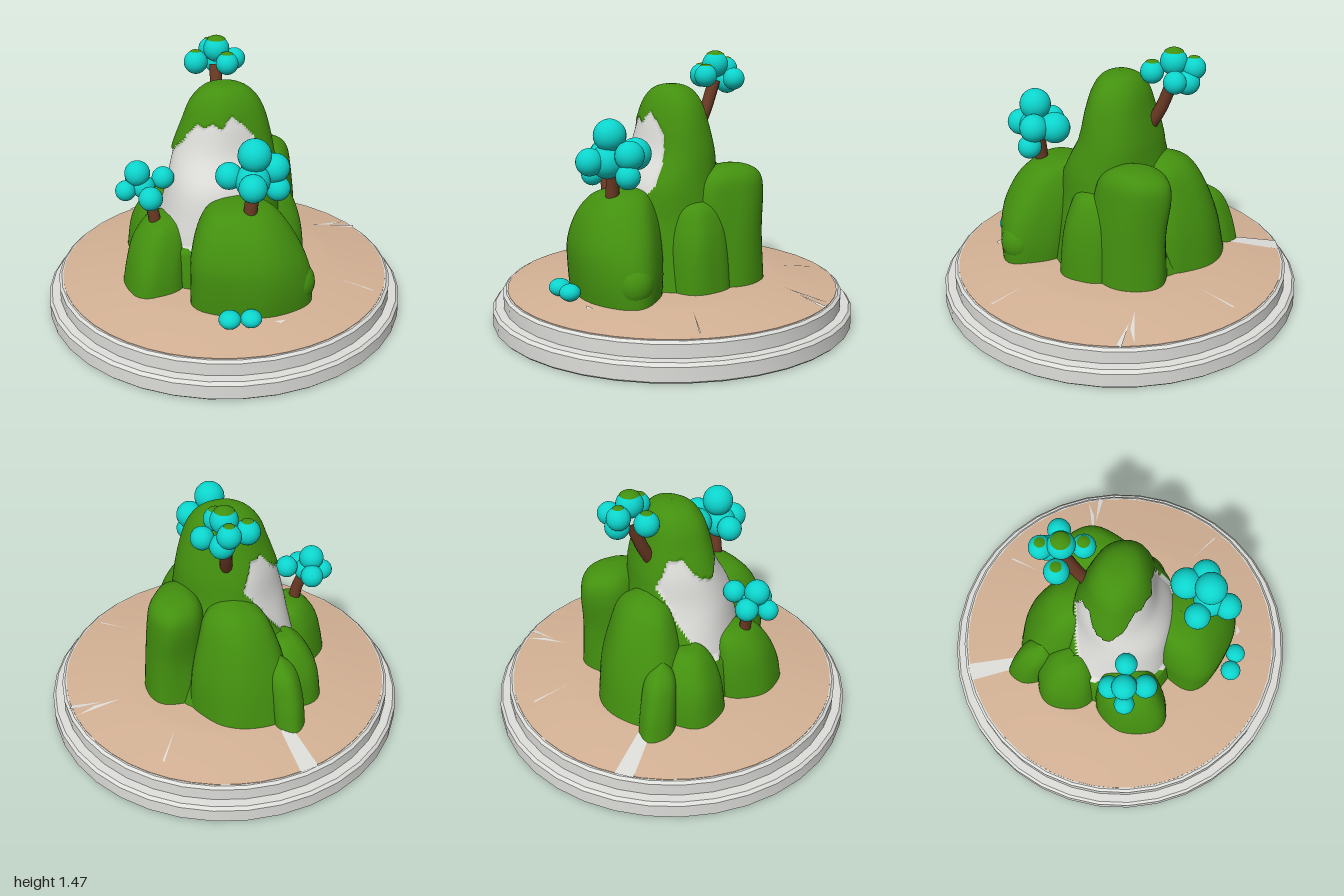
import * as THREE from 'three';
import { toCreasedNormals } from 'three/addons/utils/BufferGeometryUtils.js';

const paint = (name, color) => {
  const m = new THREE.MeshStandardMaterial({ color });
  m.name = name;
  return m;
};

// Piecewise linear lookup in a list of [key, value] pairs
function lookup(table, k) {
  if (k <= table[0][0]) return table[0][1];
  for (let i = 1; i < table.length; i++) {
    const [k0, v0] = table[i - 1], [k1, v1] = table[i];
    if (k <= k1) return v0 + (v1 - v0) * (k - k0) / (k1 - k0);
  }
  return table[table.length - 1][1];
}

// Closed lumpy hill through rings of [y, cx, cz, rx, rz]; isBare picks the second material
function hillGeometry(rings, { rows = 24, cols = 48, lump = 0.03, seed = 0, isBare = () => false } = {}) {
  const centre = new THREE.CatmullRomCurve3(rings.map(r => new THREE.Vector3(r[1], r[0], r[2])), false, 'catmullrom');
  const radius = new THREE.CatmullRomCurve3(rings.map(r => new THREE.Vector3(r[3], 0, r[4])), false, 'catmullrom');
  const pos = [], green = [], bare = [];
  for (let i = 0; i <= rows; i++) {
    const c = centre.getPoint(i / rows), r = radius.getPoint(i / rows);
    for (let j = 0; j < cols; j++) {
      const a = j / cols * Math.PI * 2;
      let k = 1 + lump * (Math.sin(3 * a + seed) + 0.7 * Math.sin(5 * a + 2 * seed + c.y * 3));
      if (isBare(a, c.y)) k *= 0.95;
      pos.push(c.x + Math.cos(a) * r.x * k, c.y, c.z + Math.sin(a) * r.z * k);
    }
  }
  for (let i = 0; i < rows; i++) for (let j = 0; j < cols; j++) {
    const a = i * cols + j, b = i * cols + (j + 1) % cols, c = a + cols, d = b + cols;
    const y = (pos[a * 3 + 1] + pos[c * 3 + 1]) / 2;
    (isBare((j + 0.5) / cols * Math.PI * 2, y) ? bare : green).push(a, c, b, b, c, d);
  }
  const g = new THREE.BufferGeometry();
  g.setAttribute('position', new THREE.Float32BufferAttribute(pos, 3));
  g.setIndex([...green, ...bare]);
  g.addGroup(0, green.length, 0);
  g.addGroup(green.length, bare.length, 1);
  g.computeVertexNormals();
  return g;
}

export function createModel() {
  const stone = paint('pale stone', 0xdddeda);
  const sand = paint('sand', 0xd4b295);
  const grass = paint('grass green', 0x43900f);
  const leaf = paint('turquoise leaf', 0x0cd4cc);
  const bark = paint('brown bark', 0x6b3a24);

  const model = new THREE.Group();
  const add = (name, geometry, material, parent = model) => {
    const m = new THREE.Mesh(geometry, material);
    m.name = name;
    parent.add(m);
    return m;
  };
  const lathe = (points, n) =>
    toCreasedNormals(new THREE.LatheGeometry(points.map(p => new THREE.Vector2(...p)), n), 0.6);

  // Stepped round plinth
  add('plinth', lathe([[0, 0], [0.99, 0], [1, 0.01], [1, 0.085], [0.985, 0.102], [0.94, 0.105],
    [0.94, 0.175], [0.925, 0.188], [0, 0.188]], 36), stone);

  // Gently domed sand
  const sandProfile = [[0, 0.248], [0.56, 0.245], [0.62, 0.238], [0.8, 0.21], [0.915, 0.191]];
  add('sandTop', lathe([[0.915, 0.185], ...sandProfile.slice().reverse()], 48), sand);

  // Thin stone cracks lying on the sand
  const cracks = [
    [[-0.53, -0.76], [-0.44, -0.81], [-0.33, -0.55], [-0.4, -0.54]],
    [[0.56, -0.35], [0.78, -0.45], [0.7, -0.39]],
    [[0.66, -0.365], [0.84, -0.405], [0.83, -0.375]],
    [[0.235, -0.59], [0.27, -0.79], [0.28, -0.78]],
    [[0.6, 0.28], [0.79, 0.38], [0.78, 0.365]],
    [[0.2, 0.665], [0.26, 0.655], [0.23, 0.68]],
  ];
  const cracksGroup = new THREE.Group();
  cracksGroup.name = 'sandCracks';
  model.add(cracksGroup);
  const crackStone = stone.clone();
  crackStone.name = 'crack stone';
  crackStone.side = THREE.DoubleSide;
  for (const c of cracks) {
    const g = new THREE.ShapeGeometry(new THREE.Shape(c.map(p => new THREE.Vector2(p[0], -p[1]))));
    g.rotateX(-Math.PI / 2);
    const p = g.attributes.position;
    for (let i = 0; i < p.count; i++) p.setY(i, lookup(sandProfile, Math.hypot(p.getX(i), p.getZ(i))) + 0.004);
    g.computeVertexNormals();
    add('crack', g, crackStone, cracksGroup);
  }

  // Main peak with a bare rock face on its front and left, edged by [degrees, y]
  const capEdge = [[48, 0.9], [54, 1.06], [68, 1.12], [83, 1.17], [98, 1.1], [110, 1.13], [122, 1.1],
    [134, 1.12], [155, 1.0], [175, 0.93], [195, 0.96], [215, 1.06], [235, 1.05], [250, 0.9]];
  const mossEdge = [[48, 0.8], [60, 0.72], [75, 0.5], [150, 0.45], [190, 0.5], [205, 0.58], [225, 0.7], [250, 0.9]];
  const isBare = (a, y) => {
    const d = THREE.MathUtils.radToDeg(a);
    return d > 48 && d < 250 && y < lookup(capEdge, d) && y > lookup(mossEdge, d);
  };
  add('mainPeak', hillGeometry([
    [0.2, -0.02, -0.04, 0.44, 0.42], [0.4, -0.03, -0.02, 0.4, 0.38], [0.6, -0.03, 0.01, 0.345, 0.33],
    [0.78, -0.02, 0.03, 0.31, 0.28], [0.95, -0.01, 0, 0.275, 0.22], [1.1, 0, 0, 0.23, 0.18],
    [1.2, 0, 0, 0.19, 0.15], [1.265, 0, 0, 0.135, 0.11], [1.295, 0, 0, 0.07, 0.06], [1.302, 0, 0, 0.001, 0.001],
  ], { rows: 100, cols: 144, lump: 0.018, seed: 1, isBare }), [grass, stone]);

  // Grassy foothills around the peak
  const hills = {
    frontHill: [[0.2, 0.1, 0.43, 0.32, 0.205], [0.35, 0.1, 0.43, 0.32, 0.22], [0.5, 0.08, 0.42, 0.3, 0.225],
      [0.64, 0.06, 0.39, 0.245, 0.2], [0.73, 0.05, 0.36, 0.18, 0.15], [0.765, 0.05, 0.34, 0.1, 0.09], [0.775, 0.05, 0.33, 0.001, 0.001]],
    leftHill: [[0.2, -0.4, 0.2, 0.18, 0.21], [0.35, -0.39, 0.19, 0.165, 0.2], [0.48, -0.37, 0.17, 0.15, 0.17],
      [0.57, -0.35, 0.15, 0.11, 0.13], [0.605, -0.34, 0.14, 0.06, 0.07], [0.612, -0.34, 0.14, 0.001, 0.001]],
    rightBackHill: [[0.2, 0.26, -0.18, 0.18, 0.22], [0.5, 0.26, -0.18, 0.16, 0.21], [0.72, 0.25, -0.2, 0.15, 0.21],
      [0.82, 0.25, -0.21, 0.13, 0.18], [0.87, 0.25, -0.21, 0.08, 0.1], [0.885, 0.25, -0.2, 0.001, 0.001]],
    rightHill: [[0.2, 0.28, 0.03, 0.18, 0.18], [0.45, 0.27, 0.03, 0.165, 0.165], [0.6, 0.25, 0.02, 0.145, 0.145],
      [0.69, 0.24, 0.02, 0.1, 0.1], [0.72, 0.23, 0.02, 0.001, 0.001]],
    backHill: [[0.2, -0.13, -0.36, 0.29, 0.2], [0.45, -0.11, -0.34, 0.26, 0.18], [0.65, -0.09, -0.3, 0.21, 0.16],
      [0.78, -0.07, -0.27, 0.16, 0.12], [0.84, -0.06, -0.24, 0.08, 0.07], [0.86, -0.06, -0.23, 0.001, 0.001]],
    backSpur: [[0.2, -0.38, -0.46, 0.085, 0.11], [0.38, -0.36, -0.43, 0.085, 0.1],
      [0.52, -0.33, -0.39, 0.07, 0.08], [0.6, -0.3, -0.35, 0.001, 0.001]],
    leftBackHill: [[0.2, -0.39, -0.2, 0.16, 0.19], [0.4, -0.38, -0.2, 0.14, 0.17], [0.53, -0.35, -0.19, 0.11, 0.13],
      [0.6, -0.33, -0.18, 0.06, 0.07], [0.61, -0.32, -0.17, 0.001, 0.001]],
  };
  Object.entries(hills).forEach(([name, rings], i) =>
    add(name, hillGeometry(rings, { lump: 0.03, seed: i * 1.7 }), [grass, stone]));
  const bump = add('frontHillBump', new THREE.SphereGeometry(0.1, 24, 16), grass);
  bump.position.set(0.34, 0.34, 0.46);
  bump.scale.set(1, 1.15, 1);

  // Trees: curved trunk and round leaf clumps [x, y, z, radius, moss cap angle]
  function clump(parent, [x, y, z, r, moss], squash = 1) {
    const ball = add('leafClump', new THREE.SphereGeometry(r, 24, 16), leaf, parent);
    ball.position.set(x, y, z);
    ball.scale.y = squash;
    if (moss) add('mossCap', new THREE.SphereGeometry(r + 0.003, 20, 6, 0, Math.PI * 2, 0, moss), grass, ball);
  }
  function tree(name, path, radius, clumps) {
    const g = new THREE.Group();
    g.name = name;
    model.add(g);
    const curve = new THREE.CatmullRomCurve3(path.map(p => new THREE.Vector3(...p)));
    add('trunk', new THREE.TubeGeometry(curve, 10, radius, 12), bark, g);
    clumps.forEach(c => clump(g, c));
  }
  tree('frontTree', [[0.09, 0.68, 0.44], [0.1, 0.8, 0.44], [0.13, 0.93, 0.44]], 0.036, [
    [0.11, 1.075, 0.46, 0.086], [-0.015, 0.955, 0.43, 0.07], [0.14, 0.97, 0.325, 0.085], [0.22, 0.98, 0.41, 0.077],
    [0.09, 0.945, 0.57, 0.072], [0.235, 0.875, 0.43, 0.065], [0.1, 0.94, 0.47, 0.09]]);
  tree('leftTree', [[-0.385, 0.54, 0.18], [-0.4, 0.65, 0.18], [-0.44, 0.78, 0.17]], 0.032, [
    [-0.475, 0.87, 0.17, 0.068], [-0.48, 0.8, 0.09, 0.062], [-0.34, 0.825, 0.14, 0.06],
    [-0.54, 0.78, 0.19, 0.055], [-0.41, 0.765, 0.27, 0.064], [-0.445, 0.79, 0.17, 0.062]]);
  tree('backTree', [[-0.02, 0.98, -0.15], [-0.02, 1.12, -0.23], [-0.02, 1.3, -0.3]], 0.034, [
    [-0.015, 1.39, -0.3, 0.072, 0.75], [-0.13, 1.32, -0.29, 0.066, 0.45], [0.035, 1.335, -0.2, 0.062, 0.55],
    [0.09, 1.315, -0.35, 0.06], [-0.045, 1.36, -0.4, 0.062, 0.45], [-0.01, 1.29, -0.38, 0.065]]);

  // Small bush at the foot of the front hill
  const bush = new THREE.Group();
  bush.name = 'smallBush';
  model.add(bush);
  [[-0.035, 0.27, 0.69, 0.058], [0.075, 0.27, 0.69, 0.056]].forEach(c => clump(bush, c, 0.8));

  return model;
}
